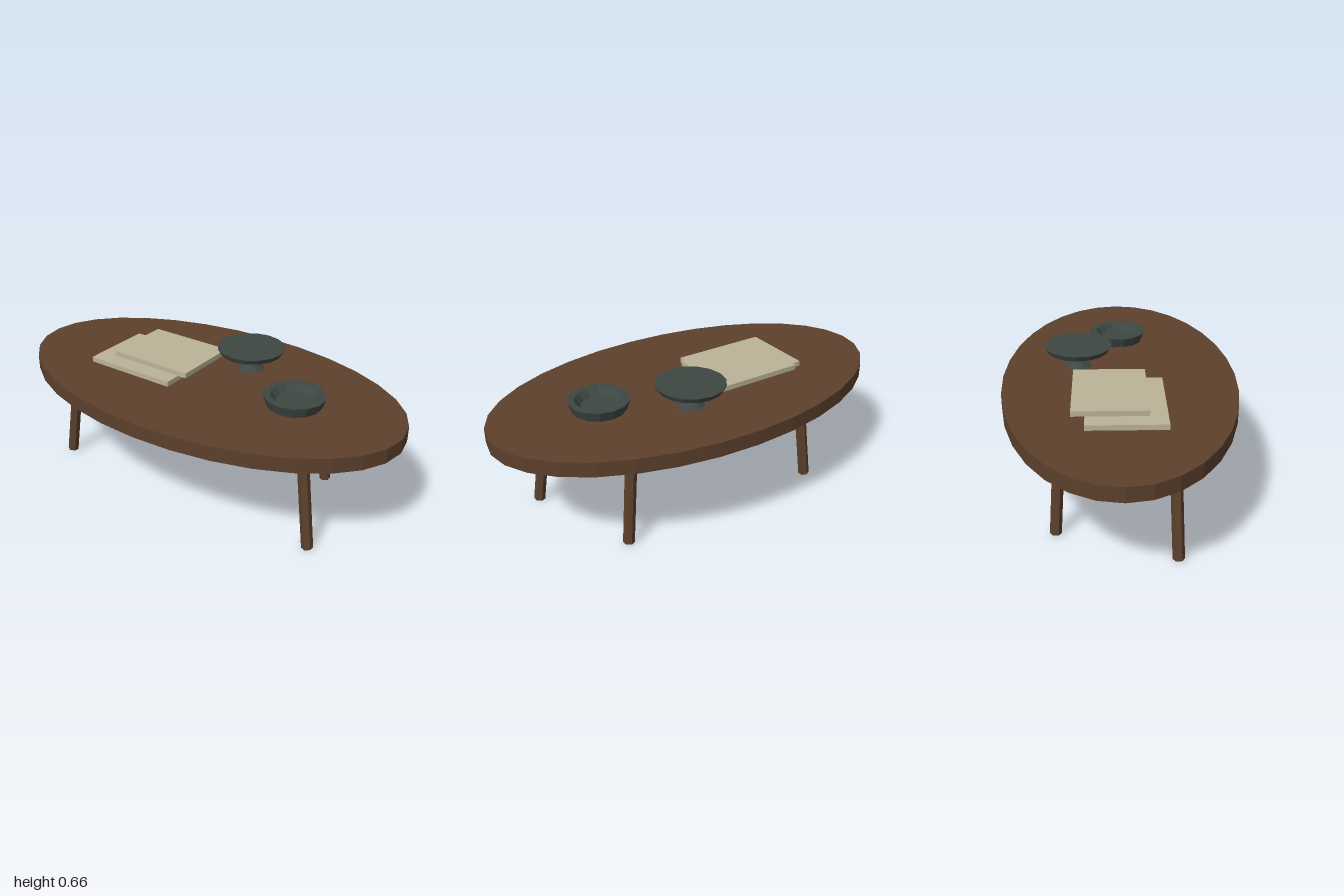
import * as THREE from 'three';

const mat = (name, color, side = THREE.FrontSide) =>
  new THREE.MeshStandardMaterial({ name, color, side, flatShading: true });

export function createModel() {
  const wood = mat('walnut wood', 0x5c402c);
  const stone = mat('dark ceramic', 0x3e4743, THREE.DoubleSide);
  const paper = mat('cream paper', 0xbcb498);

  const table = new THREE.Group();
  table.name = 'coffeeTable';
  const add = (name, geometry, material, x = 0, y = 0, z = 0) => {
    const mesh = new THREE.Mesh(geometry, material);
    mesh.name = name;
    mesh.position.set(x, y, z);
    table.add(mesh);
    return mesh;
  };

  // Oval top
  add('tableTop', new THREE.CylinderGeometry(1, 1, 0.07, 32).scale(1, 1, 0.558), wood, 0, 0.515, 0);

  // Splayed six-sided legs: the front pair stands wider than the back pair
  const addLeg = (name, foot, head) => {
    const axis = head.clone().sub(foot);
    const leg = add(name, new THREE.CylinderGeometry(0.027, 0.027, axis.length(), 6), wood);
    leg.position.copy(foot).add(head).multiplyScalar(0.5);
    leg.quaternion.setFromUnitVectors(new THREE.Vector3(0, 1, 0), axis.normalize());
  };
  for (const side of [1, -1]) {
    const label = side > 0 ? 'Left' : 'Right';
    addLeg(`front${label}Leg`, new THREE.Vector3(side * 0.72, 0.004, 0.24), new THREE.Vector3(side * 0.65, 0.49, 0.218));
    addLeg(`back${label}Leg`, new THREE.Vector3(side * 0.52, 0.004, -0.3), new THREE.Vector3(side * 0.469, 0.49, -0.27));
  }

  // Two stacked books
  add('lowerBook', new THREE.BoxGeometry(0.475, 0.025, 0.36), paper, -0.323, 0.5625, 0.02);
  add('upperBook', new THREE.BoxGeometry(0.44, 0.025, 0.34), paper, -0.26, 0.5875, -0.05);

  // Turned ceramics, each profile listed from the bottom centre to the top centre
  const turned = (points, sides) =>
    new THREE.LatheGeometry(points.map(([r, y]) => new THREE.Vector2(r, y)), sides);
  add('bowl', turned([
    [0, 0], [0.127, 0], [0.144, 0.049], [0.112, 0.049], [0.086, 0.015], [0, 0.015],
  ], 14), stone, 0.48, 0.55, 0);
  add('pedestalDish', turned([
    [0, 0], [0.066, 0], [0.02, 0.032], [0.02, 0.045], [0.152, 0.088], [0.164, 0.113], [0, 0.113],
  ], 16), stone, 0.118, 0.55, -0.2);

  return table;
}
